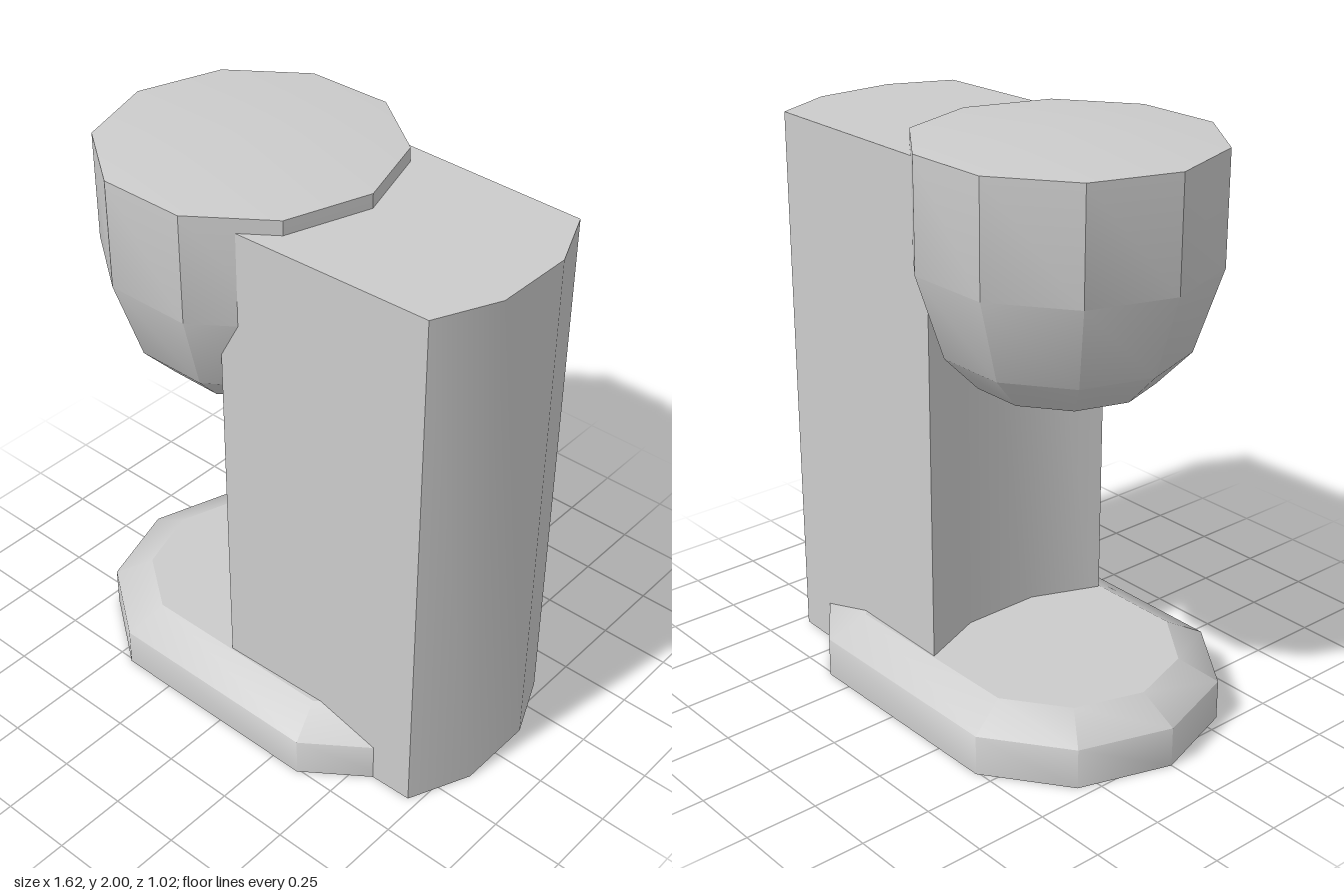
import * as THREE from 'three';
import { toCreasedNormals } from 'three/addons/utils/BufferGeometryUtils.js';

const HEAD_X = -0.275;   // shared axis of the head and the round end of the base
const STRETCH = 0.468;   // straight length of the base

export function createModel() {
  const group = new THREE.Group();
  const material = new THREE.MeshStandardMaterial({ color: 0xcccccc });

  const add = (name, geometry, crease) => {
    const mesh = new THREE.Mesh(toCreasedNormals(geometry, crease), material);
    mesh.name = name;
    group.add(mesh);
    return mesh;
  };

  // Ten-sided turned solid with corners on the x axis; profile runs bottom to top
  const turned = (profile) => new THREE.LatheGeometry(
    profile.map(([r, y]) => new THREE.Vector2(r, y)), 10, Math.PI / 2);

  // Pull the +x half outwards to make a long, round-ended plan
  const stretched = (geometry) => {
    const p = geometry.attributes.position;
    for (let i = 0; i < p.count; i++) {
      if (p.getX(i) > 0.01) p.setX(i, p.getX(i) + STRETCH);
    }
    return geometry;
  };

  // Base: walls rounding into a bevel, with a flat top
  const base = [
    add('base', stretched(turned([[0, 0], [0.536, 0], [0.536, 0.14], [0.4, 0.21]])), 1.14),
    add('baseTop', stretched(turned([[0.4, 0.21], [0, 0.21]])), 0.6),
  ];
  base.forEach((mesh) => { mesh.position.x = HEAD_X; });

  // Head: tapered below, with a shallow pointed lid
  const head = add('head', turned([
    [0, 1.19], [0.295, 1.19], [0.405, 1.305], [0.495, 1.585], [0.495, 1.96], [0, 2.0],
  ]), 0.6);
  head.position.x = HEAD_X;

  // Column: bulging back and a matching hollow on the side under the head
  const plan = new THREE.Shape([
    [-0.06, -0.375], [0.715, -0.355], [0.81, -0.14], [0.81, 0.14],
    [0.715, 0.355], [-0.06, 0.375], [0.035, 0.14], [0.035, -0.14],
  ].map(([x, y]) => new THREE.Vector2(x, y)));
  const column = new THREE.ExtrudeGeometry(plan, { depth: 1.91, bevelEnabled: false });
  column.rotateX(-Math.PI / 2);
  add('column', column, 0.6);

  return group;
}
